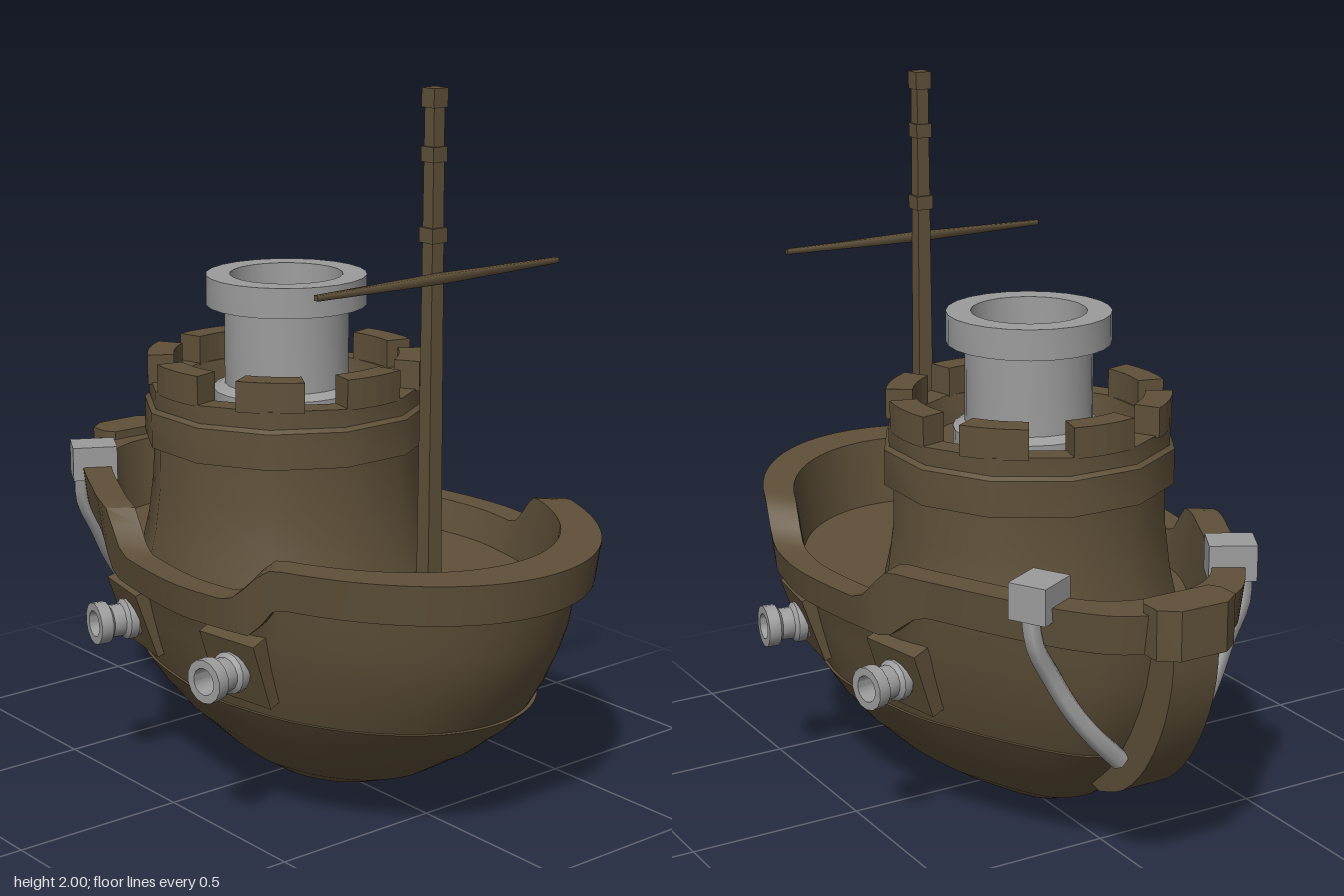
import * as THREE from 'three';
import { toCreasedNormals } from 'three/addons/utils/BufferGeometryUtils.js';

const brown = new THREE.MeshStandardMaterial({ color: 0x5f5039 });
brown.name = 'brownWood';
const grey = new THREE.MeshStandardMaterial({ color: 0x9c9c9c });
grey.name = 'greyMetal';

const V2 = (p) => new THREE.Vector2(...p);
const V3 = (p) => new THREE.Vector3(...p);
const step = THREE.MathUtils.smoothstep;
const MID = 0.1;

// Normalised egg-shaped plan of the hull, pointed at -x
const half = [[1, 0], [0.966, 0.26], [0.866, 0.5], [0.707, 0.707], [0.5, 0.866], [0.26, 0.966], [0, 1],
  [-0.35, 0.9], [-0.545, 0.76], [-0.75, 0.58], [-0.89, 0.42], [-0.96, 0.29], [-1, 0.1]];
const loop = [...half, ...half.slice(1).reverse().map(([u, v]) => [u, -v])];
const plan = new THREE.CatmullRomCurve3(loop.map(([u, v]) => new THREE.Vector3(u, 0, v)), true, 'catmullrom')
  .getSpacedPoints(128).slice(0, 128);

// One horizontal ring; y is a number or a rule of the rim's x
function ring(y, xl, xr, hz) {
  return plan.map(({ x: u, z: v }) => {
    const rimX = MID + u * (u > 0 ? 0.865 : 1.01);
    return [MID + u * (u > 0 ? xr - MID : MID - xl), typeof y === 'function' ? y(rimX) : y, v * hz];
  });
}

// Skin a list of rings
function loft(rings, crease = 0.6) {
  const n = plan.length, index = [];
  for (let j = 0; j < rings.length - 1; j++) {
    for (let i = 0; i < n; i++) {
      const a = j * n + i, b = j * n + (i + 1) % n;
      index.push(a, a + n, b, b, a + n, b + n);
    }
  }
  const geo = new THREE.BufferGeometry();
  geo.setAttribute('position', new THREE.Float32BufferAttribute(rings.flat(2), 3));
  geo.setIndex(index);
  return toCreasedNormals(geo, crease);
}

const lathe = (pts, sides, start = 0) =>
  toCreasedNormals(new THREE.LatheGeometry(pts.map(V2), sides, start), 0.6);

function add(parent, name, geo, mat, pos = [0, 0, 0]) {
  const mesh = new THREE.Mesh(geo, mat);
  mesh.name = name;
  mesh.position.set(...pos);
  parent.add(mesh);
  return mesh;
}

export function createModel() {
  const ship = new THREE.Group();
  ship.name = 'ship';

  // Hull in two strakes, the lower one standing slightly proud
  add(ship, 'lowerHull', loft([
    ring(0, 0.09, 0.11, 0), ring(0.01, 0.05, 0.16, 0.05), ring(0.02, -0.05, 0.24, 0.1),
    ring(0.05, -0.31, 0.33, 0.18), ring(0.1, -0.42, 0.45, 0.255), ring(0.2, -0.565, 0.61, 0.36),
    ring(0.28, -0.65, 0.71, 0.425), ring(0.345, -0.715, 0.775, 0.465), ring(0.345, -0.69, 0.75, 0.44)]), brown);
  const rimTop = (x) => 0.7 + 0.11 * (1 - step(x, -0.28, -0.13) + step(x, 0.33, 0.5));
  const rimLow = (x) => 0.61 + 0.09 * (1 - step(x, -0.38, -0.22) + step(x, 0.4, 0.5));
  add(ship, 'upperHull', loft([
    ring(0.34, -0.7, 0.76, 0.455), ring(0.42, -0.75, 0.81, 0.48), ring(0.5, -0.79, 0.85, 0.5),
    ring(0.58, -0.82, 0.88, 0.517), ring((x) => rimLow(x) + 0.02, -0.85, 0.905, 0.535)]), brown);

  // Rim that dips amidships, with the inner wall and deck
  add(ship, 'rimAndDeck', loft([
    ring(rimLow, -0.83, 0.88, 0.52), ring(rimLow, -0.895, 0.95, 0.575), ring(rimTop, -0.91, 0.965, 0.592),
    ring(rimTop, -0.79, 0.83, 0.515), ring(0.61, -0.76, 0.8, 0.49), ring(0.61, MID, MID, 0)]), brown);

  // Stem post and its cap at the bow
  const outer = new THREE.SplineCurve([[-0.935, 0.74], [-0.93, 0.62], [-0.89, 0.48], [-0.81, 0.34],
    [-0.71, 0.245], [-0.6, 0.2]].map(V2)).getPoints(14);
  const stem = new THREE.Shape([...outer, ...[[-0.5, 0.22], [-0.68, 0.4], [-0.77, 0.55], [-0.8, 0.74]].map(V2)]);
  add(ship, 'stemPost', toCreasedNormals(
    new THREE.ExtrudeGeometry(stem, { depth: 0.14, bevelEnabled: false }), 0.5), brown, [0, 0, -0.07]);
  const cap = new THREE.Shape([[-0.84, -0.1], [-0.84, 0.1], [-0.87, 0.12], [-0.93, 0.12], [-0.968, 0.07],
    [-0.968, -0.07], [-0.93, -0.12], [-0.87, -0.12]].map(V2));
  add(ship, 'stemCap', new THREE.ExtrudeGeometry(cap, { depth: 0.135, bevelEnabled: false })
    .rotateX(-Math.PI / 2), brown, [0, 0.7, 0]);

  // Twelve-sided tower with eight merlons
  const tower = new THREE.Group();
  tower.name = 'tower';
  tower.position.set(-0.123, 0, -0.005);
  ship.add(tower);
  add(tower, 'towerWall', lathe([[0.43, 0.6], [0.403, 0.72], [0.388, 0.84], [0.385, 0.96], [0.41, 0.96],
    [0.41, 1.06], [0.397, 1.07], [0.397, 1.12], [0.325, 1.12], [0.31, 1.04], [0, 1.04]], 12, Math.PI / 12), brown);
  for (let k = 0; k < 8; k++) {
    const a = k * Math.PI / 4, h = 0.24;
    const shape = new THREE.Shape();
    shape.absarc(0, 0, 0.395, a - h, a + h, false);
    shape.absarc(0, 0, 0.32, a + h, a - h, true);
    add(tower, 'merlon', new THREE.ExtrudeGeometry(shape, { depth: 0.085, bevelEnabled: false, curveSegments: 2 })
      .rotateX(-Math.PI / 2), brown, [0, 1.115, 0]);
  }

  // Hollow funnel rising from the tower
  add(tower, 'funnel', lathe([[0.21, 1.04], [0.21, 1.1], [0.177, 1.115], [0.177, 1.34], [0.228, 1.34],
    [0.228, 1.425], [0.16, 1.425], [0.155, 1.2], [0.1, 1.16], [0, 1.14]], 24), grey);

  // Square mast with collars, and a tapered yard
  const mast = new THREE.Group();
  mast.name = 'mast';
  mast.position.set(0.503, 0, 0.005);
  ship.add(mast);
  const pole = new THREE.CylinderGeometry(0.0255, 0.034, 1.37, 4, 1).rotateY(Math.PI / 4).toNonIndexed();
  pole.computeVertexNormals();
  add(mast, 'mastPole', pole, brown, [0, 1.295, 0]);
  for (const [y, w, h] of [[1.975, 0.048, 0.05], [1.83, 0.048, 0.04], [1.62, 0.052, 0.04]]) {
    add(mast, 'mastCollar', new THREE.BoxGeometry(w, h, w), brown, [0, y, 0]);
  }
  for (const s of [1, -1]) {
    const arm = new THREE.CylinderGeometry(0.01, 0.018, 0.42, 4).rotateY(Math.PI / 4).rotateX(s * Math.PI / 2);
    add(mast, 'yard', arm, brown, [0.035, 1.51, s * 0.21]);
  }

  // Gun ports with cannons, and the bow hooks, on both sides
  const barrel = lathe([[0.05, -0.05], [0.05, 0.04], [0.058, 0.045], [0.058, 0.07], [0.046, 0.08], [0.046, 0.115],
    [0.06, 0.125], [0.06, 0.16], [0.037, 0.16], [0.033, 0.06], [0, 0.06]], 14).rotateX(Math.PI / 2);
  for (const s of [1, -1]) {
    for (const [x, z, yaw] of [[-0.215, 0.43, -0.2], [0.295, 0.465, 0.14]]) {
      const gun = new THREE.Group();
      gun.name = 'gunPort';
      gun.position.set(x, 0.485, s * z);
      gun.rotation.y = s > 0 ? yaw : Math.PI - yaw;
      ship.add(gun);
      add(gun, 'portPlate', new THREE.BoxGeometry(0.2, 0.2, 0.05), brown, [0, 0.005, 0.02]).rotation.x = 0.33;
      add(gun, 'cannon', barrel, grey, [0, -0.005, 0]);
    }
    const strap = new THREE.CatmullRomCurve3([[-0.67, 0.8, 0.335], [-0.682, 0.7, 0.325], [-0.685, 0.6, 0.275],
      [-0.702, 0.5, 0.22], [-0.718, 0.42, 0.16], [-0.722, 0.34, 0.085]].map(([x, y, z]) => V3([x, y, s * z])));
    add(ship, 'hookStrap', new THREE.TubeGeometry(strap, 16, 0.027, 6), grey);
    const head = add(ship, 'hookHead', new THREE.BoxGeometry(0.11, 0.1, 0.13), grey, [-0.662, 0.82, s * 0.3]);
    head.rotation.y = -s * 0.5;
  }
  return ship;
}
